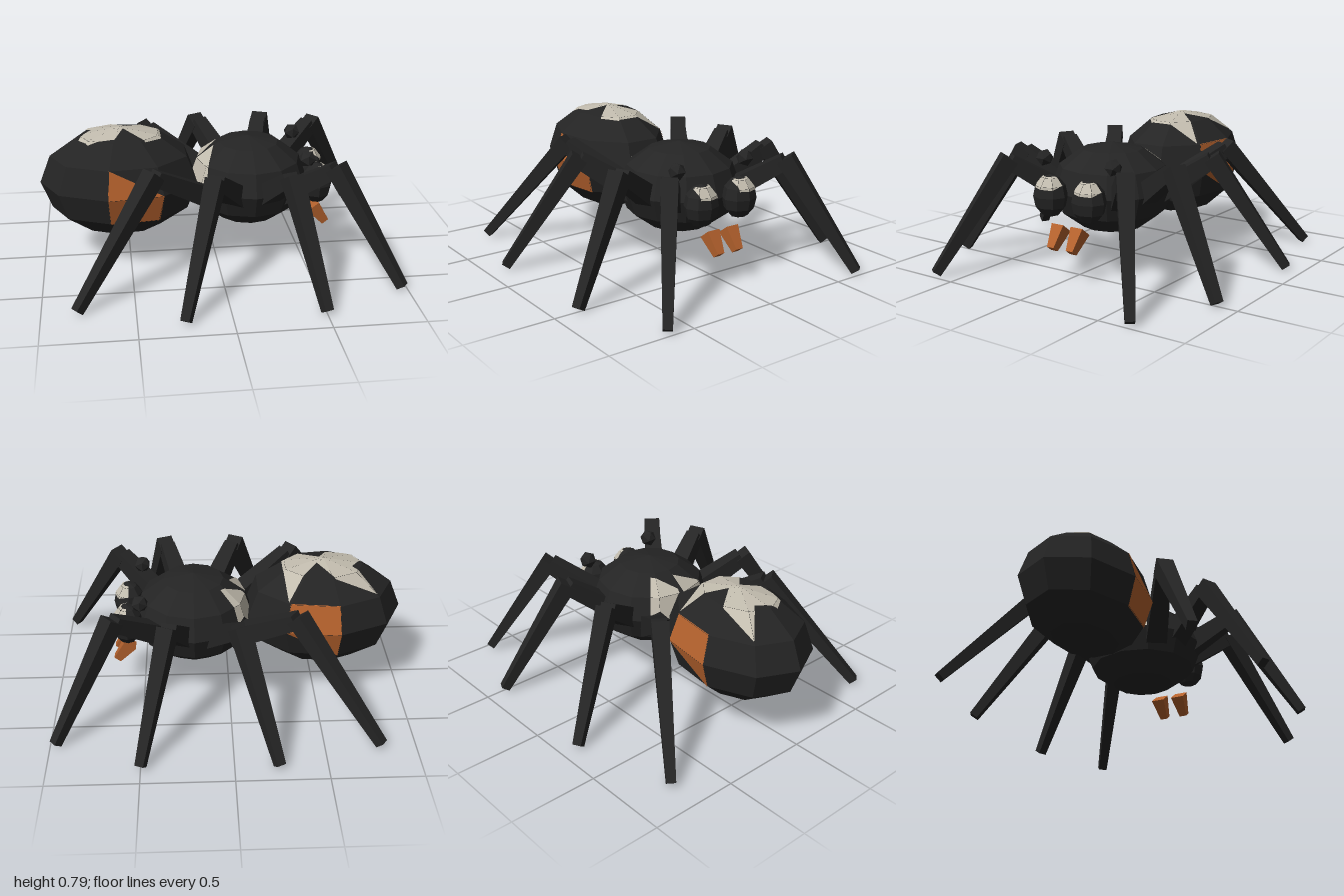
import * as THREE from 'three';

const black = new THREE.MeshStandardMaterial({ color: 0x242424 });
black.name = 'black';
const pale = new THREE.MeshStandardMaterial({ color: 0xc2bcae });
pale.name = 'pale grey';
const orange = new THREE.MeshStandardMaterial({ color: 0xb5622d });
orange.name = 'burnt orange';

// Faceted version of a geometry
function flat(geo) {
  const g = geo.index ? geo.toNonIndexed() : geo;
  g.computeVertexNormals();
  return g;
}

// Low-poly ellipsoid with its pole upwards
function ellipsoid(center, radii, around, rows) {
  const g = new THREE.SphereGeometry(1, around, rows);
  return flat(g.scale(...radii).translate(...center));
}

// Cut a convex polygon to the inside of a 2D triangle
function clip(poly, tri) {
  const cross = (a, b, p) => (b[0] - a[0]) * (p[1] - a[1]) - (b[1] - a[1]) * (p[0] - a[0]);
  const turn = Math.sign(cross(...tri));
  for (let e = 0; e < 3; e++) {
    const a = tri[e], b = tri[(e + 1) % 3], out = [];
    poly.forEach((p, i) => {
      const q = poly[(i + 1) % poly.length];
      const dp = turn * cross(a, b, p), dq = turn * cross(a, b, q);
      if (dp >= 0) out.push(p);
      if (dp * dq < 0) {
        const t = dp / (dp - dq);
        out.push([p[0] + (q[0] - p[0]) * t, p[1] + (q[1] - p[1]) * t]);
      }
    });
    poly = out;
  }
  return poly;
}

// Lay a flat outline on the facets of a body; u, v are the outline's axes, w the projection axis
function marking(body, outline, [u, v, w], side) {
  const pts = outline.map(p => new THREE.Vector2(...p));
  if (THREE.ShapeUtils.isClockWise(pts)) pts.reverse();
  const ears = THREE.ShapeUtils.triangulateShape(pts, [])
    .map(f => f.map(i => [pts[i].x, pts[i].y]));
  const pos = body.attributes.position, verts = [];
  const tri = new THREE.Triangle(), n = new THREE.Vector3();
  for (let i = 0; i < pos.count; i += 3) {
    tri.setFromAttributeAndIndices(pos, i, i + 1, i + 2);
    tri.getNormal(n);
    if (n[w] * side < 0.02) continue;
    const flatTri = [tri.a, tri.b, tri.c].map(p => [p[u], p[v]]);
    for (const ear of ears) {
      const lifted = clip(ear, flatTri).map(([pu, pv]) => {
        const p = new THREE.Vector3();
        p[u] = pu;
        p[v] = pv;
        p[w] = tri.a[w] - (n[u] * (pu - tri.a[u]) + n[v] * (pv - tri.a[v])) / n[w];
        return p.addScaledVector(n, 0.003);
      });
      for (let k = 1; k + 1 < lifted.length; k++) {
        const f = [lifted[0], lifted[k], lifted[k + 1]];
        const fn = new THREE.Triangle(...f).getNormal(new THREE.Vector3());
        if (fn.dot(n) < 0) f.reverse();
        f.forEach(p => verts.push(p.x, p.y, p.z));
      }
    }
  }
  const g = new THREE.BufferGeometry();
  g.setAttribute('position', new THREE.Float32BufferAttribute(verts, 3));
  return flat(g);
}

// Square tapered bar from a to b, with side lengths at each end
function bar(a, b, sideA, sideB, material, name) {
  const from = new THREE.Vector3(...a), to = new THREE.Vector3(...b);
  const g = new THREE.CylinderGeometry(sideB / Math.SQRT2, sideA / Math.SQRT2, from.distanceTo(to), 4);
  g.rotateY(Math.PI / 4).rotateX(Math.PI / 2);
  const m = new THREE.Mesh(flat(g), material);
  m.position.copy(from).lerp(to, 0.5);
  m.lookAt(to);
  m.name = name;
  return m;
}

export function createModel() {
  const model = new THREE.Group();
  model.name = 'spider';
  const add = (geo, material, name) => {
    const m = new THREE.Mesh(geo, material);
    m.name = name;
    model.add(m);
  };
  const fromTop = ['x', 'z', 'y'], fromSide = ['x', 'y', 'z'], fromHead = ['z', 'y', 'x'];

  // Abdomen with a pale top patch and an orange patch on each flank
  const abdomen = ellipsoid([-0.54, 0.47, -0.01], [0.46, 0.315, 0.34], 9, 6);
  add(abdomen, black, 'abdomen');
  add(marking(abdomen, [
    [-0.83, -0.19], [-0.59, -0.18], [-0.5, -0.05], [-0.33, -0.25], [-0.31, -0.06], [-0.31, 0.06],
    [-0.4, 0.13], [-0.52, 0.01], [-0.57, 0.12], [-0.72, 0.12], [-0.77, 0.04], [-0.7, -0.06],
  ], fromTop, 1), pale, 'abdomenTopMarking');
  add(marking(abdomen, [[-0.61, 0.63], [-0.31, 0.47], [-0.335, 0.31], [-0.61, 0.31], [-0.62, 0.47]],
    fromSide, 1), orange, 'flankMarkingFront');
  add(marking(abdomen, [[-0.61, 0.63], [-0.34, 0.63], [-0.31, 0.47], [-0.61, 0.31], [-0.62, 0.47]],
    fromSide, -1), orange, 'flankMarkingBack');

  // Thorax with two pale patches at its rear
  const thorax = ellipsoid([0.2, 0.448, -0.01], [0.345, 0.257, 0.35], 12, 6);
  add(thorax, black, 'thorax');
  add(marking(thorax, [[-0.05, -0.22], [0.05, -0.13], [-0.07, -0.03], [-0.14, -0.05], [-0.12, -0.12]],
    fromTop, 1), pale, 'thoraxMarkingBack');
  add(marking(thorax, [[-0.14, -0.01], [0, -0.01], [-0.07, 0.22], [-0.13, 0.16]],
    fromTop, 1), pale, 'thoraxMarkingFront');

  // Big eyes with pale glints, small side eyes, and fangs
  for (const s of [1, -1]) {
    const eye = ellipsoid([0.58, 0.45, s * 0.132], [0.09, 0.12, 0.1], 8, 6);
    add(eye, black, 'mainEye');
    const glint = [[0.055, 0.557], [-0.045, 0.56], [-0.09, 0.52], [-0.06, 0.495], [0.05, 0.5]];
    add(marking(eye, glint.map(([z, y]) => [z + s * 0.132, y]), fromHead, 1), pale, 'eyeGlint');

    add(flat(new THREE.IcosahedronGeometry(0.05, 0).translate(0.5, 0.637, s * 0.235)), black, 'sideEye');
    model.add(bar([0.575, 0.28, s * 0.065], [0.655, 0.175, s * 0.065], 0.08, 0.045, orange, 'fang'));
  }

  // Legs: hip, knee and foot as x, z pairs
  const legs = [
    [[-0.03, -0.2], [-0.36, -0.42], [-0.81, -0.74]],
    [[0.12, -0.22], [-0.04, -0.52], [-0.24, -0.9]],
    [[0.25, -0.22], [0.34, -0.51], [0.5, -0.88]],
    [[0.36, -0.18], [0.64, -0.41], [0.97, -0.67]],
    [[0.36, 0.17], [0.63, 0.38], [0.97, 0.64]],
    [[0.25, 0.2], [0.36, 0.5], [0.5, 0.86]],
    [[0.12, 0.2], [-0.05, 0.5], [-0.25, 0.88]],
    [[-0.03, 0.18], [-0.37, 0.38], [-0.81, 0.71]],
  ];
  legs.forEach(([hip, knee, foot], i) => {
    const leg = new THREE.Group();
    leg.name = 'leg' + (i + 1);
    const at = ([x, z], y) => [x, y, z];
    leg.add(bar(at(hip, 0.4), at(knee, 0.62), 0.12, 0.085, black, 'upperLeg'));
    leg.add(bar(at(knee, 0.64), at(foot, 0.015), 0.095, 0.05, black, 'lowerLeg'));
    model.add(leg);
  });
  return model;
}
